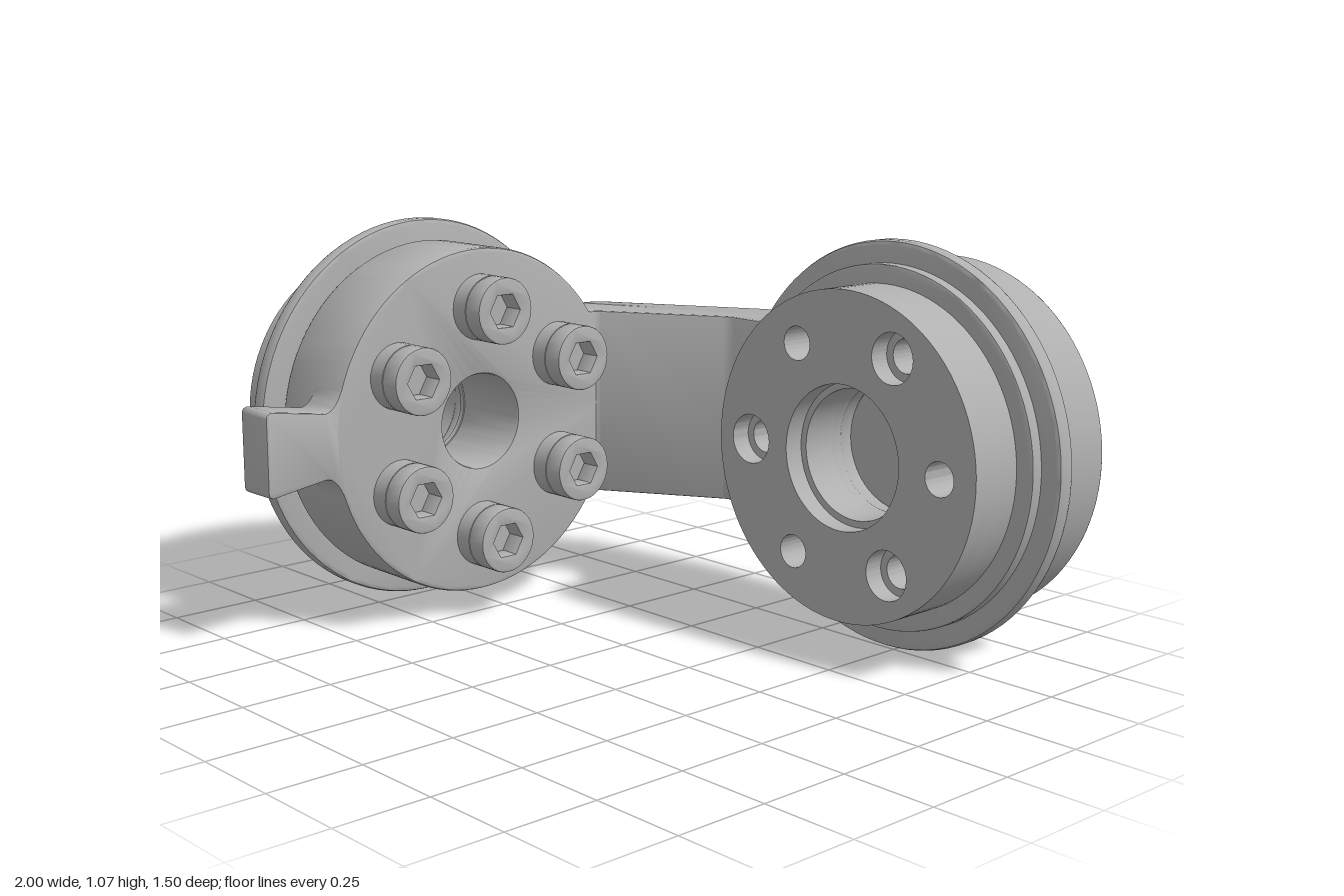
import * as THREE from 'three';
import { toCreasedNormals } from 'three/addons/utils/BufferGeometryUtils.js';

const steel = new THREE.MeshStandardMaterial({ color: 0xb0b0b0 });
steel.name = 'steel grey';

const BOLT_CIRCLE = 0.315;

function circle(r, x = 0, y = 0) {
  return new THREE.Path().absarc(x, y, r, 0, Math.PI * 2, false);
}

function disc(r, holes = []) {
  const s = new THREE.Shape().absarc(0, 0, r, 0, Math.PI * 2, false);
  s.holes.push(...holes);
  return s;
}

// point number k of six on the bolt circle
function ringPoint(k, offset = 0) {
  const a = offset + k * Math.PI / 3;
  return [BOLT_CIRCLE * Math.cos(a), BOLT_CIRCLE * Math.sin(a)];
}

// extrude a shape from z0 to z1, with an optional small edge bevel
function slab(name, shape, z0, z1, bevel = 0, segments = 32) {
  const g = new THREE.ExtrudeGeometry(shape, {
    depth: z1 - z0 - 2 * bevel, curveSegments: segments,
    bevelEnabled: bevel > 0, bevelSize: bevel, bevelThickness: bevel,
    bevelOffset: -bevel, bevelSegments: 2,
  });
  g.translate(0, 0, z0 + bevel);
  const mesh = new THREE.Mesh(toCreasedNormals(g, 0.5), steel);
  mesh.name = name;
  return mesh;
}

// socket head screw facing -z, its head top at z = top
function bolt(x, y, top) {
  const group = new THREE.Group();
  group.name = 'socketBolt';
  const hex = new THREE.Path();
  for (let i = 0; i < 6; i++) {
    const a = i * Math.PI / 3;
    hex[i ? 'lineTo' : 'moveTo'](0.05 * Math.cos(a), 0.05 * Math.sin(a));
  }
  hex.closePath();
  group.add(
    slab('boltHead', disc(0.09, [hex]), 0, 0.06, 0.004, 16),
    slab('boltBase', disc(0.09), 0.06, 0.115, 0, 16));
  group.position.set(x, y, top);
  return group;
}

// stepped output flange, facing +z, starting at z
function outputFlange(z, spacerHole) {
  const group = new THREE.Group();
  group.name = 'outputFlange';
  const small = [], mixed = [];
  for (let k = 0; k < 6; k++) {
    const p = ringPoint(k);
    small.push(circle(0.044, ...p));
    mixed.push(circle(k % 2 ? 0.065 : 0.044, ...p));
  }
  // odd positions are counterbored: 60, 180 and 300 degrees
  group.add(
    slab('spacer', disc(0.46, spacerHole ? [circle(spacerHole)] : []), -0.012, 0.004),
    slab('rim', disc(0.533, [circle(0.17)]), 0, 0.05, 0.012, 48),
    slab('collar', disc(0.475, [circle(0.17)]), 0.045, 0.082, 0.004, 48),
    slab('hubBase', disc(0.426, [circle(0.17), ...small]), 0.08, 0.18, 0, 48),
    slab('hubFace', disc(0.426, [circle(0.188), ...mixed]), 0.18, 0.236, 0, 48));
  group.position.z = z;
  return group;
}

// side tab with a flared end
function stopTab() {
  const s = new THREE.Shape();
  s.moveTo(0.4, -0.2);
  s.lineTo(0.44, -0.175);
  s.quadraticCurveTo(0.468, -0.088, 0.505, -0.088);
  s.lineTo(0.662, -0.112);
  s.quadraticCurveTo(0.68, -0.112, 0.68, -0.095);
  s.lineTo(0.68, 0.095);
  s.quadraticCurveTo(0.68, 0.112, 0.662, 0.112);
  s.lineTo(0.505, 0.088);
  s.quadraticCurveTo(0.468, 0.088, 0.44, 0.175);
  s.lineTo(0.4, 0.2);
  s.closePath();
  return slab('stopTab', s, 0.001, 0.12, 0.006, 8);
}

// joint with a through bore, proud bolts and a stop tab
function leftJoint() {
  const group = new THREE.Group();
  group.name = 'leftJoint';
  group.add(slab('leftBody', disc(0.475, [circle(0.13)]), 0, 0.25, 0.01, 48));
  group.add(outputFlange(0.26, 0.13), stopTab());
  for (let k = 0; k < 6; k++) group.add(bolt(...ringPoint(k, Math.PI / 6), -0.112));
  group.rotation.y = -Math.PI / 2;
  group.position.set(-0.505, 0.535, 0.066);
  return group;
}

// joint with recessed bolts, its body flaring into the arm
function rightJoint() {
  const group = new THREE.Group();
  group.name = 'rightJoint';
  const a = THREE.MathUtils.degToRad(130);
  const body = new THREE.Shape();
  body.absarc(0, 0, 0.475, -a, a, false);
  body.lineTo(-0.41, 0.276);
  body.quadraticCurveTo(-0.43, 0.262, -0.47, 0.262);
  body.lineTo(-0.47, -0.262);
  body.quadraticCurveTo(-0.43, -0.262, -0.41, -0.276);
  body.closePath();
  for (let k = 0; k < 6; k++) {
    const p = ringPoint(k, Math.PI / 6);
    body.holes.push(circle(0.108, ...p));
    group.add(bolt(...p, 0.006));
  }
  group.add(slab('rightBody', body, 0, 0.195, 0.008, 48), outputFlange(0.203, 0));
  group.position.set(0.465, 0.535, -0.755);
  return group;
}

// cranked arm, drawn from above and extruded upwards
function arm() {
  const s = new THREE.Shape();
  s.moveTo(-0.507, 0.26);
  s.lineTo(-0.507, 0.345);
  s.quadraticCurveTo(-0.505, 0.355, -0.49, 0.364);
  s.lineTo(-0.19, 0.548);
  s.quadraticCurveTo(-0.175, 0.558, -0.15, 0.558);
  s.lineTo(0.06, 0.558);
  s.lineTo(0.06, 0.754);
  s.lineTo(-0.14, 0.754);
  s.quadraticCurveTo(-0.195, 0.754, -0.24, 0.725);
  s.lineTo(-0.63, 0.503);
  s.quadraticCurveTo(-0.66, 0.485, -0.665, 0.44);
  s.quadraticCurveTo(-0.67, 0.405, -0.7, 0.4);
  s.lineTo(-0.7, 0.26);
  s.closePath();
  const mesh = slab('crankedArm', s, 0, 0.525, 0.006, 10);
  mesh.rotation.x = -Math.PI / 2;
  mesh.position.y = 0.2725;
  return mesh;
}

export function createModel() {
  const model = new THREE.Group();
  model.name = 'jointLink';
  model.add(leftJoint(), arm(), rightJoint());
  return model;
}
